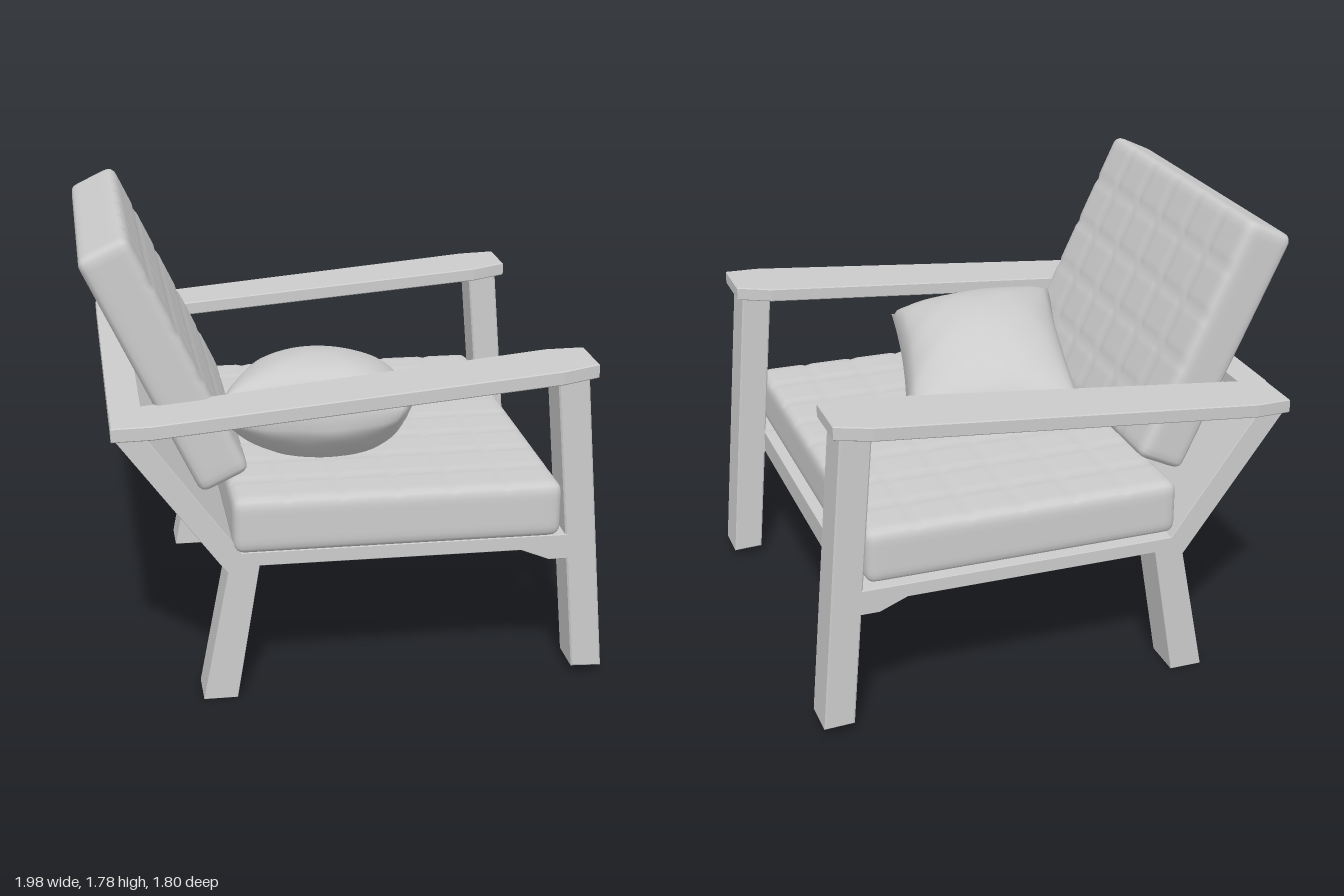
import * as THREE from 'three';
import { mergeVertices } from 'three/addons/utils/BufferGeometryUtils.js';

const material = new THREE.MeshStandardMaterial({ color: 0xcccccc });

function add(parent, name, geometry) {
  const mesh = new THREE.Mesh(geometry, material);
  mesh.name = name;
  parent.add(mesh);
  return mesh;
}

// Side profile in x/y, extruded from z0 to z1 with a small bevel
function profile(points, z0, z1, bevel = 0.006) {
  const shape = new THREE.Shape(points.map(([x, y]) => new THREE.Vector2(x, y)));
  const geometry = new THREE.ExtrudeGeometry(shape, {
    depth: z1 - z0 - 2 * bevel, bevelEnabled: bevel > 0,
    bevelSize: bevel, bevelThickness: bevel, bevelOffset: -bevel, bevelSegments: 1,
  });
  return geometry.translate(0, 0, z0 + bevel);
}

// Join split corners so that the normals come out smooth
function smooth(geometry) {
  geometry.deleteAttribute('uv');
  geometry.deleteAttribute('normal');
  const merged = mergeVertices(geometry, 1e-5);
  merged.computeVertexNormals();
  return merged;
}

// Rounded block whose upper face (+y) has a grid of sewn grooves
function cushion(length, thickness, width, radius, cols, rows) {
  const step = 8;
  const nx = cols * step, nz = rows * step;
  const geometry = new THREE.BoxGeometry(length, thickness, width, nx, 10, nz);
  const pos = geometry.attributes.position;
  const half = new THREE.Vector3(length / 2, thickness / 2, width / 2);
  const inner = half.clone().subScalar(radius);
  const p = new THREE.Vector3(), core = new THREE.Vector3();
  for (let i = 0; i < pos.count; i++) {
    p.fromBufferAttribute(pos, i);
    const ix = Math.round((p.x / length + 0.5) * nx);
    const iz = Math.round((p.z / width + 0.5) * nz);
    const top = p.y > half.y - 1e-4;
    const groove = top && ((ix % step === 0 && ix > 0 && ix < nx) || (iz % step === 0 && iz > 0 && iz < nz));
    core.copy(p).clamp(inner.clone().negate(), inner);
    p.sub(core).normalize().multiplyScalar(radius).add(core);
    if (groove) p.y -= 0.006;
    pos.setXYZ(i, p.x, p.y, p.z);
  }
  return smooth(geometry);
}

// Armrest: tapered board, sheared so that it rises to the front
function armrest() {
  const outline = [[-0.9, 0.66], [0.78, 0.615], [0.92, 0.65], [0.92, 0.87], [0.78, 0.9], [-0.75, 0.9], [-0.9, 0.87]];
  const geometry = profile(outline, 0, 0.055, 0.004);
  geometry.rotateX(Math.PI / 2);
  const pos = geometry.attributes.position;
  for (let i = 0; i < pos.count; i++) pos.setY(i, pos.getY(i) + 1.125 + (pos.getX(i) + 0.9) * 0.09);
  geometry.computeVertexNormals();
  return geometry;
}

// Loose pillow: swollen sheet between four corner points, pinched at the corners
function pillow() {
  const a = new THREE.Vector3(-0.31, 0.88, -0.27), b = new THREE.Vector3(0.42, 0.84, -0.1);
  const c = new THREE.Vector3(0.24, 1.08, 0.66), d = new THREE.Vector3(-0.5, 1.1, 0.65);
  const normal = c.clone().sub(b).add(d).sub(a).cross(b.clone().sub(a).add(c).sub(d)).normalize();
  const geometry = new THREE.BoxGeometry(2, 2, 2, 36, 1, 36);
  const pos = geometry.attributes.position;
  const near = new THREE.Vector3(), far = new THREE.Vector3();
  for (let i = 0; i < pos.count; i++) {
    const u = pos.getX(i), v = pos.getZ(i), side = Math.sign(pos.getY(i));
    const swell = Math.pow(Math.max(0, (1 - u * u) * (1 - v * v)), 0.42);
    const s = u * (1 - 0.07 * (1 - v * v)) * 0.5 + 0.5;
    const t = v * (1 - 0.07 * (1 - u * u)) * 0.5 + 0.5;
    near.lerpVectors(a, b, s);
    far.lerpVectors(d, c, s);
    near.lerp(far, t);
    // Soft folds that gather along the seams
    const fold = 0.008 * Math.sin(9 * u + 3 * v) * Math.sin(8 * v) * Math.max(u * u, v * v) * swell;
    near.addScaledVector(normal, side * 0.225 * swell + fold);
    pos.setXYZ(i, near.x, Math.max(near.y, 0.81), near.z);
  }
  return smooth(geometry);
}

export function createModel() {
  const chair = new THREE.Group();
  chair.name = 'armchair';

  // Legs, side rails and armrests, mirrored across z
  for (const side of [1, -1]) {
    const label = side > 0 ? 'near' : 'far';
    const [z0, z1] = side > 0 ? [0.68, 0.85] : [-0.85, -0.68];
    add(chair, label + 'FrontLeg', profile([[0.87, 0.035], [0.99, 0.03], [0.89, 1.24], [0.77, 1.23]], z0, z1));
    add(chair, label + 'RearLeg', profile(
      [[-0.58, 0], [-0.45, 0], [-0.36, 0.545], [-0.36, 0.6], [-0.48, 0.6], [-0.48, 0.52]], z0, z1, 0.002));
    add(chair, label + 'SideRail', profile(
      [[-0.47, 0.545], [0.65, 0.545], [0.76, 0.5], [0.84, 0.5], [0.83, 0.6], [-0.47, 0.6]], z0, z1, 0.002));
    const arm = armrest();
    if (side < 0) {
      // Mirror the board and reverse its triangles
      arm.scale(1, 1, -1);
      const pos = arm.attributes.position;
      const p = new THREE.Vector3(), q = new THREE.Vector3();
      for (let i = 0; i < pos.count; i += 3) {
        p.fromBufferAttribute(pos, i);
        q.fromBufferAttribute(pos, i + 1);
        pos.setXYZ(i, q.x, q.y, q.z);
        pos.setXYZ(i + 1, p.x, p.y, p.z);
      }
      arm.computeVertexNormals();
    }
    add(chair, label + 'Armrest', arm);
  }

  // Seat base and sloping back panel with its top bar
  add(chair, 'seatBase', profile([[-0.36, 0.5], [0.83, 0.5], [0.83, 0.595], [-0.46, 0.595], [-0.46, 0.53]], -0.69, 0.69, 0));
  add(chair, 'backPanel', profile(
    [[-0.89, 1.075], [-0.48, 0.52], [-0.42, 0.59], [-0.79, 1.1]], -0.85, 0.85, 0.002));
  add(chair, 'backTopBar', profile(
    [[-0.9, 1.07], [-0.78, 1.08], [-0.78, 1.135], [-0.9, 1.125]], -0.67, 0.67, 0.002));

  // Upholstery
  const seat = add(chair, 'seatCushion', cushion(1.26, 0.22, 1.7, 0.04, 6, 8));
  seat.position.set(0.17, 0.71, 0.025);
  const back = add(chair, 'backCushion', cushion(1.024, 0.207, 1.33, 0.035, 5, 6));
  back.position.set(-0.685, 1.28, 0.015);
  back.rotation.z = -1.126;
  add(chair, 'pillow', pillow());

  return chair;
}
